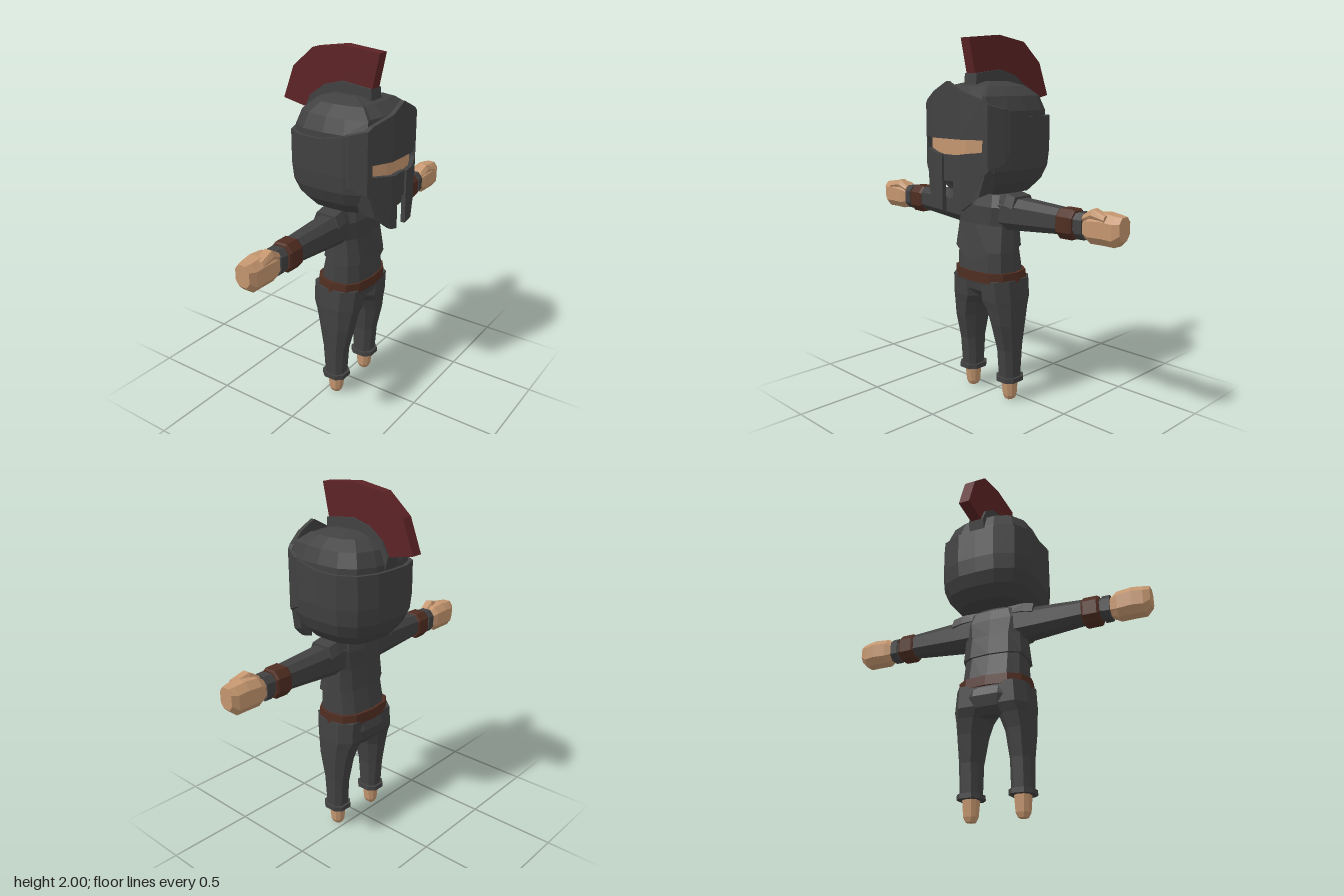
import * as THREE from 'three';

const mat = (name, color) => {
  const m = new THREE.MeshStandardMaterial({ color });
  m.name = name;
  return m;
};

// Skin a list of equal-length rings (arrays of [x,y,z]) with flat faces and closed ends.
function loft(rings) {
  const tris = [];
  const n = rings[0].length;
  for (let i = 0; i < rings.length - 1; i++) {
    for (let j = 0; j < n; j++) {
      const k = (j + 1) % n;
      const a = rings[i][j], b = rings[i][k], c = rings[i + 1][k], d = rings[i + 1][j];
      tris.push([a, b, c], [a, c, d]);
    }
  }
  const mid = r => [0, 1, 2].map(q => r.reduce((s, p) => s + p[q], 0) / n);
  const first = rings[0], last = rings[rings.length - 1];
  const m0 = mid(first), m1 = mid(last);
  for (let j = 0; j < n; j++) {
    const k = (j + 1) % n;
    tris.push([m0, first[k], first[j]], [m1, last[j], last[k]]);
  }
  // Turn the faces outward if the enclosed volume comes out negative.
  let vol = 0;
  for (const [a, b, c] of tris) {
    const [p, q, r] = [a, b, c].map(t => t.map((v, i) => v - m0[i]));
    vol += p[0] * (q[1] * r[2] - q[2] * r[1]) + p[1] * (q[2] * r[0] - q[0] * r[2])
      + p[2] * (q[0] * r[1] - q[1] * r[0]);
  }
  if (vol < 0) tris.forEach(t => t.reverse());
  const g = new THREE.BufferGeometry();
  g.setAttribute('position', new THREE.Float32BufferAttribute(tris.flat(2), 3));
  g.computeVertexNormals();
  return g;
}

// Rounded-square ring: calls place(u, v) with u, v in -1..1.
function ring(n, power, place, turn = 0.5) {
  return Array.from({ length: n }, (_, i) => {
    const a = (i + turn) / n * Math.PI * 2;
    const f = v => Math.sign(v) * Math.abs(v) ** power;
    return place(f(Math.cos(a)), f(Math.sin(a)));
  });
}
const ringY = (y, x, z, rx, rz, n = 8, turn) =>
  ring(n, 0.75, (u, v) => [x + u * rx, y, z + v * rz], turn);
const ringX = (x, y, z, ry, rz, n = 8) =>
  ring(n, 0.75, (u, v) => [x, y + u * ry, z + v * rz]);

// Half outline of the helmet seen from above, front to back.
const half = [[0, 0.29], [0.1, 0.29], [0.2, 0.265], [0.245, 0.275], [0.278, 0.19], [0.287, 0.06],
  [0.278, -0.08], [0.22, -0.175], [0.11, -0.22], [0, -0.225]];
const outline = [...half, ...half.slice(1, -1).reverse().map(([x, z]) => [-x, z])];
const helmetRing = (s, y, frontPush = 0) => outline.map(([x, z]) => {
  const zz = 0.07 + (z - 0.07) * s + (z > 0.2 ? frontPush : 0);
  return [x * s, typeof y === 'function' ? y(zz) : y, zz];
});

// Front of the visor: flat in the middle, swept back at the sides.
const frontZ = x => {
  const a = Math.abs(x);
  return a < 0.1 ? 0.37 : a < 0.235 ? 0.37 - (a - 0.1) * 0.45 : 0.309 - (a - 0.235) * 2.4;
};
// Curved plate from columns of [x, top, bottom].
const plate = (cols, inset = 0, thick = 0.025) => loft(cols.map(([x, top, bot]) => {
  const z = frontZ(x) - inset;
  return [[x, top, z], [x * 0.97, top, z - thick], [x * 0.97, bot, z - thick], [x, bot, z]];
}));

// Side silhouette of [z, y] points, extruded across x.
function sideSlab(points, width) {
  const shape = new THREE.Shape(points.map(([z, y]) => new THREE.Vector2(-z, y)));
  const g = new THREE.ExtrudeGeometry(shape, { depth: width, bevelEnabled: false });
  g.translate(0, 0, -width / 2);
  g.rotateY(Math.PI / 2);
  return g;
}

export function createModel() {
  const model = new THREE.Group();
  model.name = 'helmetedFighter';
  const grey = mat('dark grey', 0x414142);
  const skin = mat('skin', 0xc4966f);
  const red = mat('dark red', 0x5c2325);
  const brown = mat('leather brown', 0x4f2d21);
  const add = (name, geometry, material) => {
    const m = new THREE.Mesh(geometry, material);
    m.name = name;
    model.add(m);
  };

  // Helmet shell with a raised rim, and the dome inside it
  const rimY = z => 1.58 + Math.max(0, z - 0.05) * 0.22;
  add('helmetShell', loft([
    helmetRing(0.68, 1.18), helmetRing(0.87, 1.24), helmetRing(0.97, 1.31), helmetRing(1, 1.4),
    helmetRing(1, rimY), helmetRing(0.93, rimY), helmetRing(0.92, 1.53),
  ]), grey);
  add('helmetDome', loft([
    helmetRing(0.925, 1.5, 0.02), helmetRing(0.92, 1.61, 0.04), helmetRing(0.82, 1.685, 0.05),
    helmetRing(0.6, 1.735, 0.03), helmetRing(0.3, 1.76),
  ]), grey);

  // Visor: brow plate, cheek plates, recessed nose guard and the face in the slit
  add('browPlate', plate([[-0.272, 1.62, 1.46], [-0.235, 1.645, 1.46], [-0.21, 1.665, 1.47],
    [-0.1, 1.71, 1.47], [0, 1.76, 1.47], [0.1, 1.71, 1.47], [0.21, 1.665, 1.47],
    [0.235, 1.645, 1.46], [0.272, 1.62, 1.46]]), grey);
  add('noseGuard', plate([[-0.042, 1.385, 1.25], [0.042, 1.385, 1.25]], 0.012, 0.06), grey);
  add('face', plate([[-0.222, 1.49, 1.36], [-0.1, 1.49, 1.36], [0.1, 1.49, 1.36],
    [0.222, 1.49, 1.36]], 0.036, 0.009), skin);

  // Crest and its holder
  const crestBase = [[-0.22, 1.65], [-0.18, 1.725], [-0.09, 1.79], [0.02, 1.82], [0.2, 1.8]];
  add('crestHolder', sideSlab([...crestBase, [0.21, 1.7], [0, 1.7], [-0.13, 1.65], [-0.2, 1.57]],
    0.09), grey);
  add('crest', sideSlab([...crestBase, [0.24, 1.98], [0.02, 2], [-0.17, 1.97], [-0.3, 1.86],
    [-0.37, 1.68]], 0.064), red);

  // Neck, chest armour with a pointed front hem, waist, belt and hips
  add('neck', loft([ringY(1.08, 0, 0.07, 0.09, 0.07), ringY(1.26, 0, 0.07, 0.075, 0.065)]), skin);
  const hem = ringY(0.855, 0, 0.077, 0.195, 0.133, 12, 0).map(([x, y, z]) =>
    [x, z > 0.2 && Math.abs(x) < 0.02 ? 0.79 : z < 0.05 ? 0.88 : y, z]);
  add('chestArmour', loft([hem,
    ringY(1, 0, 0.07, 0.185, 0.11, 12, 0), ringY(1.1, 0, 0.075, 0.205, 0.105, 12, 0),
    ringY(1.165, 0, 0.072, 0.17, 0.085, 12, 0), ringY(1.185, 0, 0.07, 0.1, 0.07, 12, 0)]), grey);
  add('waist', loft([ringY(0.69, 0, 0.06, 0.19, 0.145, 12, 0),
    ringY(0.9, 0, 0.075, 0.18, 0.115, 12, 0)]), grey);
  add('belt', loft([ringY(0.685, 0, 0.057, 0.21, 0.152, 12, 0),
    ringY(0.742, 0, 0.06, 0.206, 0.15, 12, 0)]), brown);
  add('hips', loft([ringY(0.57, 0, 0.045, 0.07, 0.08), ringY(0.63, 0, 0.05, 0.2, 0.14),
    ringY(0.72, 0, 0.06, 0.2, 0.147)]), grey);
  add('seat', loft([ringY(0.53, 0, -0.02, 0.09, 0.035), ringY(0.57, 0, -0.025, 0.13, 0.06),
    ringY(0.63, 0, -0.025, 0.15, 0.075), ringY(0.69, 0, -0.02, 0.15, 0.06)]), grey);

  for (const s of [1, -1]) {
    const side = s > 0 ? 'left' : 'right';
    const rx = (x, ...rest) => ringX(s * x, ...rest);
    const ry = (y, x, ...rest) => ringY(y, s * x, ...rest);

    add(side + 'CheekPlate', plate([[0.042, 1.385, 1.09], [0.1, 1.395, 1.105], [0.14, 1.4, 1.14],
      [0.19, 1.405, 1.25], [0.208, 1.41, 1.29], [0.209, 1.47, 1.29], [0.235, 1.47, 1.31],
      [0.272, 1.46, 1.35]].map(([x, t, b]) => [s * x, t, b])), grey);
    // Lower cheek, sweeping back to the jaw
    add(side + 'Jaw', loft([[0.37, 0.1, 1.105], [0.33, 0.19, 1.18], [0.25, 0.21, 1.2]]
      .map(([z, x, y]) => [[s * x, y, z], [s * (x + 0.035), y + 0.14, z - 0.02],
        [s * (x + 0.01), y + 0.14, z - 0.04], [s * (x - 0.025), y, z - 0.02]])), grey);

    // Shoulder pad and arm
    add(side + 'ShoulderPad', loft([[0.09, 1.19, 0.07], [0.19, 1.178, 0.085], [0.25, 1.165, 0.085]]
      .map(([x, y, r]) => [[s * x, y, 0.065 + r * 0.7], [s * x, y - 0.06, 0.065 + r],
        [s * x, y - 0.06, 0.065 - r], [s * x, y, 0.065 - r * 0.7]])), grey);
    add(side + 'Sleeve', loft([rx(0.1, 1.07, 0.07, 0.1, 0.09), rx(0.24, 1.07, 0.067, 0.09, 0.078),
      rx(0.54, 1.072, 0.063, 0.068, 0.06), rx(0.65, 1.068, 0.062, 0.058, 0.05)]), grey);
    add(side + 'WristBand', loft([rx(0.523, 1.065, 0.063, 0.074, 0.064),
      rx(0.535, 1.065, 0.063, 0.082, 0.071), rx(0.61, 1.065, 0.063, 0.081, 0.07),
      rx(0.622, 1.065, 0.063, 0.073, 0.063)]), brown);
    add(side + 'SleeveCuff', loft([rx(0.636, 1.065, 0.062, 0.071, 0.06),
      rx(0.68, 1.065, 0.062, 0.071, 0.058)]), grey);

    // Fist and thumb
    add(side + 'Hand', loft([rx(0.67, 1.062, 0.062, 0.05, 0.045), rx(0.72, 1.065, 0.062, 0.08, 0.065),
      rx(0.8, 1.07, 0.062, 0.083, 0.068), rx(0.86, 1.065, 0.062, 0.08, 0.062),
      rx(0.895, 1.08, 0.062, 0.06, 0.045)]), skin);
    add(side + 'Thumb', loft([rx(0.68, 1.11, 0.085, 0.02, 0.03, 6), rx(0.74, 1.135, 0.09, 0.032, 0.035, 6),
      rx(0.82, 1.12, 0.1, 0.022, 0.03, 6)]), skin);

    // Leg, trouser cuff and foot
    add(side + 'Leg', loft([ry(0.12, 0.148, 0.055, 0.057, 0.06), ry(0.3, 0.148, 0.056, 0.06, 0.074),
      ry(0.45, 0.142, 0.06, 0.075, 0.105), ry(0.53, 0.129, 0.055, 0.09, 0.122),
      ry(0.58, 0.112, 0.05, 0.11, 0.14), ry(0.7, 0.105, 0.055, 0.107, 0.145)]), grey);
    add(side + 'TrouserCuff', loft([ry(0.113, 0.148, 0.055, 0.071, 0.077),
      ry(0.14, 0.148, 0.055, 0.07, 0.076)]), grey);
    add(side + 'Foot', loft([ry(0, 0.148, 0.054, 0.025, 0.028), ry(0.025, 0.148, 0.054, 0.038, 0.038),
      ry(0.12, 0.148, 0.056, 0.044, 0.049)]), skin);
  }
  return model;
}
